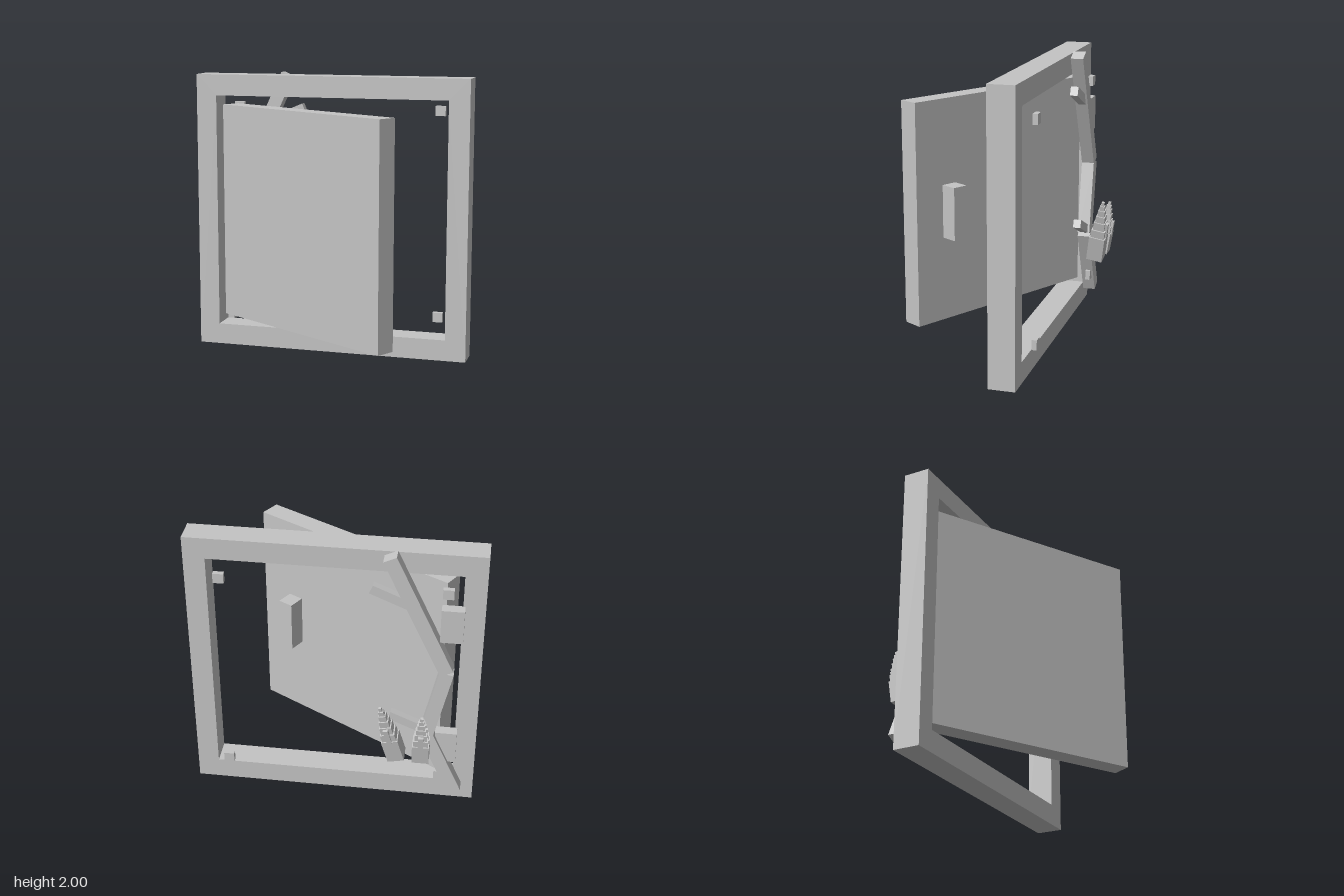
import * as THREE from 'three';

export function createModel() {
  const model = new THREE.Group();
  const grey = new THREE.MeshStandardMaterial({ color: 0xc4c4c4 });
  grey.name = 'plain grey';

  function add(name, geometry, parent = model) {
    const mesh = new THREE.Mesh(geometry, grey);
    mesh.name = name;
    parent.add(mesh);
    return mesh;
  }
  function box(name, size, pos, parent) {
    const mesh = add(name, new THREE.BoxGeometry(...size), parent);
    mesh.position.set(...pos);
    return mesh;
  }
  // Square bar between two points of the xy plane
  function bar(name, [x1, y1], [x2, y2], width, depth, z) {
    const length = Math.hypot(x2 - x1, y2 - y1);
    const mesh = box(name, [width, length, depth], [(x1 + x2) / 2, (y1 + y2) / 2, z]);
    mesh.rotation.z = Math.atan2(y2 - y1, x2 - x1) - Math.PI / 2;
  }
  const rect = (path, x0, y0, x1, y1) =>
    path.moveTo(x0, y0).lineTo(x1, y0).lineTo(x1, y1).lineTo(x0, y1).closePath();

  // Square frame with an opening
  const outline = new THREE.Shape();
  rect(outline, -0.993, 0, 0.993, 1.987);
  const opening = new THREE.Path();
  rect(opening, -0.845, 0.15, 0.845, 1.837);
  outline.holes.push(opening);
  const frame = add('frame', new THREE.ExtrudeGeometry(outline, { depth: 0.185, bevelEnabled: false }));
  frame.position.z = -0.317;

  // Door swung open by 30 degrees, with its handle on the back
  const door = new THREE.Group();
  door.name = 'door';
  door.position.set(-0.1, 0.995, 0.153);
  door.rotation.y = -Math.PI / 6;
  model.add(door);
  box('doorPanel', [1.555, 1.55, 0.143], [0, 0, 0], door);
  box('handle', [0.11, 0.37, 0.125], [0.497, 0, -0.128], door);

  // Hinges on the frame
  for (const y of [0.495, 1.49]) box('hinge', [0.15, 0.245, 0.075], [-0.785, y, -0.3495]);

  // Small corner blocks
  for (const x of [-0.75, 0.745])
    for (const y of [0.25, 1.743]) box('cornerBlock', [0.072, 0.07, 0.035], [x, y, -0.382]);

  // Bent branch with two twigs
  const bends = [[-0.372, 1.98], [-0.767, 1.135], [-0.65, 0.61], [-0.865, 0.127]];
  for (let i = 0; i < 3; i++) bar('branch', bends[i], bends[i + 1], 0.095, 0.09, -0.37);
  bar('upperTwig', [-0.53, 1.628], [-0.253, 1.745], 0.065, 0.055, -0.373);
  bar('lowerTwig', [-0.65, 0.636], [-0.39, 0.747], 0.06, 0.055, -0.373);

  // Stepped cones: each layer is width, bottom, top
  const layers = [
    [0.115, 0, 0.19], [0.1, 0.19, 0.25], [0.082, 0.25, 0.31], [0.066, 0.31, 0.36],
    [0.05, 0.36, 0.405], [0.035, 0.405, 0.44], [0.02, 0.44, 0.47],
  ];
  function cone(x, tilt, stretch) {
    const group = new THREE.Group();
    group.name = 'cone';
    for (const [w, y0, y1] of layers) box('coneLayer', [w, y1 - y0, w], [0, (y0 + y1) / 2, 0], group);
    box('coneFin', [0.035, 0.13, 0.045], [0, 0.235, -0.038], group);
    group.position.set(x, 0.487, -0.5);
    group.rotation.set(-0.165, 0, tilt);
    group.scale.y = stretch;
    model.add(group);
  }
  cone(-0.625, 0, 0.82);
  cone(-0.46, -0.25, 1);

  return model;
}
